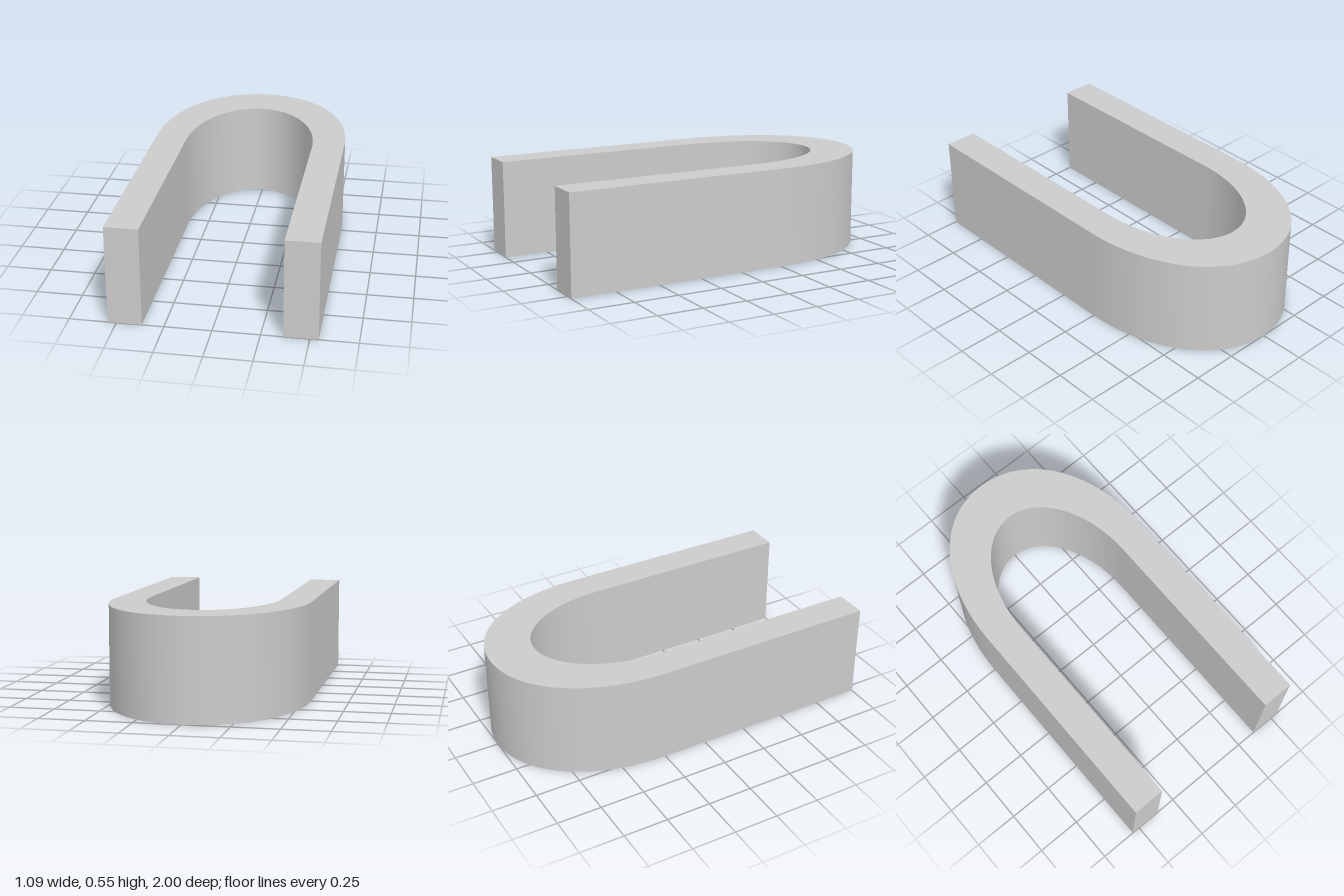
import * as THREE from 'three';
import { toCreasedNormals } from 'three/addons/utils/BufferGeometryUtils.js';

export function createModel() {
  const group = new THREE.Group();
  group.name = 'horseshoeBlock';

  // Plan outline: shape y points to the back (-z)
  const outer = 0.545, inner = 0.365, height = 0.545;
  const plan = new THREE.Shape();
  plan.moveTo(outer, -1);
  plan.lineTo(outer, 0.25);
  plan.bezierCurveTo(outer, 0.68, 0.32, 1, 0, 1);
  plan.bezierCurveTo(-0.32, 1, -outer, 0.68, -outer, 0.25);
  plan.lineTo(-outer, -1);
  plan.lineTo(-inner, -1);
  plan.lineTo(-inner, 0.18);
  plan.bezierCurveTo(-inner, 0.5, -0.2, 0.745, 0, 0.745);
  plan.bezierCurveTo(0.2, 0.745, inner, 0.5, inner, 0.18);
  plan.lineTo(inner, -1);
  plan.closePath();

  // Raise the outline into a solid, smooth around the bend and sharp at the rims
  let geometry = new THREE.ExtrudeGeometry(plan, { depth: height, bevelEnabled: false, curveSegments: 28 });
  geometry.rotateX(-Math.PI / 2);
  geometry = toCreasedNormals(geometry, Math.PI / 6);

  const arch = new THREE.Mesh(geometry, new THREE.MeshStandardMaterial({ color: 0xcccccc }));
  arch.name = 'archWall';
  group.add(arch);
  return group;
}
